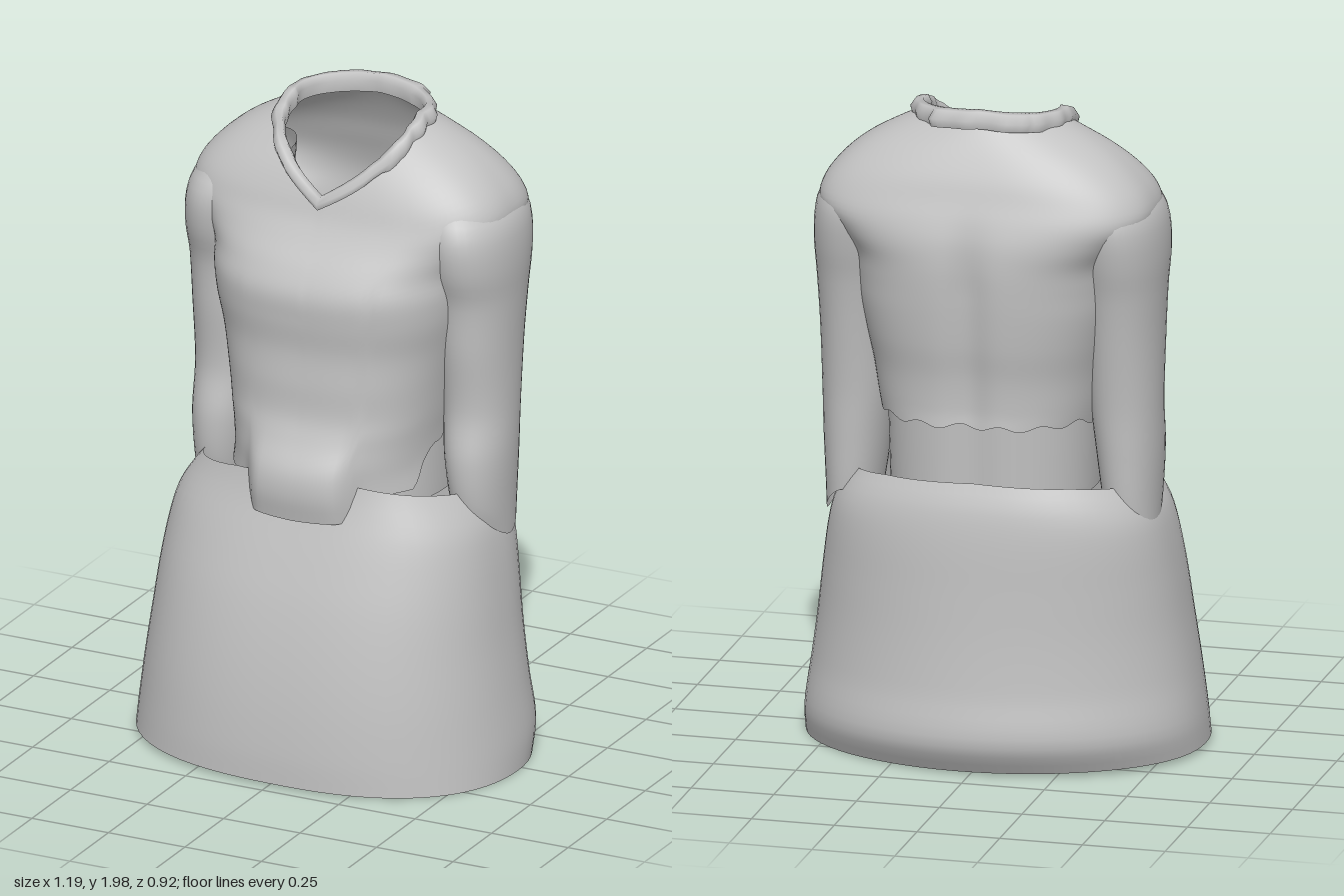
import * as THREE from 'three';

const cloth = new THREE.MeshStandardMaterial({ color: 0xc2c2c2, side: THREE.DoubleSide });
cloth.name = 'grey cloth';

// Smooth lookup in a table of rows [key, value, value, ...] sorted by key
function sample(rows, k) {
  const n = rows.length - 1;
  k = Math.min(Math.max(k, rows[0][0]), rows[n][0]);
  let i = 0;
  while (i < n - 1 && k > rows[i + 1][0]) i++;
  const a = rows[i], b = rows[i + 1], h = b[0] - a[0], u = (k - a[0]) / h;
  const p = rows[Math.max(i - 1, 0)], q = rows[Math.min(i + 2, n)];
  return a.slice(1).map((_, c) => {
    c++;
    const m0 = (b[c] - p[c]) / (b[0] - p[0]) * h, m1 = (q[c] - a[c]) / (q[0] - a[0]) * h;
    const u2 = u * u, u3 = u2 * u;
    return (2 * u3 - 3 * u2 + 1) * a[c] + (u3 - 2 * u2 + u) * m0 + (3 * u2 - 2 * u3) * b[c] + (u3 - u2) * m1;
  });
}

// Straight lookup in [key, value] pairs
function lerpTable(rows, k) {
  for (let i = 1; i < rows.length; i++) {
    const [k0, v0] = rows[i - 1], [k1, v1] = rows[i];
    if (k <= k1) return v0 + (v1 - v0) * (k - k0) / (k1 - k0);
  }
  return rows[rows.length - 1][1];
}

// Closed tube of cloth: f(angle from front, t upward) gives a point
function wrap(name, cols, rows, f) {
  const pos = [], idx = [];
  for (let j = 0; j <= rows; j++)
    for (let i = 0; i < cols; i++) pos.push(...f((i / cols) * Math.PI * 2, j / rows));
  for (let j = 0; j < rows; j++)
    for (let i = 0; i < cols; i++) {
      const a = j * cols + i, b = j * cols + (i + 1) % cols;
      idx.push(a, b, b + cols, a, b + cols, a + cols);
    }
  const g = new THREE.BufferGeometry();
  g.setAttribute('position', new THREE.Float32BufferAttribute(pos, 3));
  g.setIndex(idx);
  g.computeVertexNormals();
  const mesh = new THREE.Mesh(g, cloth);
  mesh.name = name;
  return mesh;
}

// Superellipse point: half width, front z, back z, squareness n
function oval(a, hw, zf, zb, n) {
  const s = Math.sin(a), c = Math.cos(a);
  const r = Math.pow(Math.pow(Math.abs(s), n) + Math.pow(Math.abs(c), n), -1 / n);
  return [s * r * hw, (zf + zb) / 2 + c * r * (zf - zb) / 2];
}

const degrees = a => { const d = THREE.MathUtils.radToDeg(a); return d > 180 ? 360 - d : d; };
const CX = 0.012;

// [height, half width, front z, back z]
const SKIRT = [
  [0.01, 0.597, 0.462, -0.41], [0.1, 0.593, 0.46, -0.457], [0.25, 0.572, 0.445, -0.437],
  [0.4, 0.55, 0.42, -0.422], [0.55, 0.53, 0.385, -0.412], [0.68, 0.508, 0.345, -0.405],
  [0.76, 0.485, 0.318, -0.397], [0.82, 0.448, 0.298, -0.385], [0.88, 0.398, 0.283, -0.362], [0.93, 0.365, 0.275, -0.345],
];
// [height, half width, front z, back z, squareness]
const TORSO = [
  [0.8, 0.34, 0.33, -0.36, 2.3], [0.88, 0.33, 0.343, -0.36, 2.3], [0.95, 0.32, 0.335, -0.37, 2.3],
  [1.03, 0.325, 0.295, -0.39, 2.4], [1.1, 0.335, 0.27, -0.385, 2.5], [1.2, 0.35, 0.265, -0.39, 2.5],
  [1.3, 0.37, 0.26, -0.405, 2.5], [1.4, 0.392, 0.27, -0.415, 2.5], [1.48, 0.402, 0.27, -0.42, 2.5],
  [1.55, 0.41, 0.238, -0.42, 2.6], [1.62, 0.455, 0.19, -0.412, 2.8], [1.68, 0.5, 0.155, -0.395, 2.9],
  [1.74, 0.488, 0.132, -0.372, 2.9], [1.8, 0.442, 0.105, -0.35, 2.7], [1.86, 0.37, 0.07, -0.32, 2.4],
  [1.91, 0.285, 0.04, -0.29, 2.1], [1.95, 0.205, 0.02, -0.262, 2], [1.98, 0.175, 0.01, -0.245, 2],
];
// [height, inner x, outer x, front z, back z]
const SLEEVE = [
  [0.7, 0.35, 0.497, 0.0, -0.2], [0.8, 0.335, 0.502, 0.045, -0.215], [0.95, 0.315, 0.509, 0.06, -0.225],
  [1.1, 0.3, 0.51, 0.04, -0.235], [1.3, 0.29, 0.515, 0.06, -0.26], [1.45, 0.28, 0.522, 0.075, -0.285],
  [1.55, 0.27, 0.528, 0.105, -0.31], [1.64, 0.26, 0.523, 0.115, -0.325], [1.7, 0.25, 0.505, 0.1, -0.32],
  [1.76, 0.24, 0.455, 0.055, -0.285],
];
// Edge heights by angle from the front
const NECK = [[0, 1.735], [10, 1.79], [20, 1.845], [33, 1.89], [50, 1.925], [75, 1.95], [130, 1.958], [180, 1.97]];
const HEM = [[0, 0.8], [27, 0.805], [30, 0.88], [60, 0.88], [75, 1.0], [90, 1.02], [120, 1.06], [180, 1.06]];
const WAIST = [[0, 0.925], [30, 0.91], [55, 0.88], [80, 0.85], [110, 0.85], [140, 0.875], [180, 0.885]];

function torsoPoint(a, y) {
  const [hw, zf, zb, n] = sample(TORSO, y);
  let [x, z] = oval(a, hw, zf, zb, n);
  const low = THREE.MathUtils.smoothstep(1.08 - y, 0, 0.2);
  if (z > 0) z -= 0.05 * low * THREE.MathUtils.smoothstep(Math.abs(x), 0.12, 0.2); // front tab stands proud
  else z += 0.025 * Math.exp(-((x / 0.06) ** 2)) * THREE.MathUtils.smoothstep(1.75 - y, 0, 0.3); // spine hollow
  return [x + CX, y, z];
}

export function createModel() {
  const group = new THREE.Group();
  group.name = 'dress';

  // Flared skirt with open waist and slightly uneven hem
  group.add(wrap('skirt', 72, 30, (a, t) => {
    const y = 0.012 + (lerpTable(WAIST, degrees(a)) - 0.012) * t;
    const [hw, zf, zb] = sample(SKIRT, y);
    const [x, z] = oval(a, hw, zf, zb, 2.2 + 0.2 * Math.cos(a) + 0.5 * t * t);
    return [x, y + (1 - t) * 0.008 * (1 - x / 0.6), z];
  }));

  // Bodice with neckline, front tab, shoulders and short back
  group.add(wrap('bodice', 128, 56, (a, t) => {
    const d = degrees(a);
    const y0 = lerpTable(HEM, d) + (d > 65 ? 0.008 * Math.sin(a * 17) : 0);
    return torsoPoint(a, y0 + (lerpTable(NECK, d) - y0) * t);
  }));

  // Inner layer showing below the short back
  group.add(wrap('underlayer', 64, 10, (a, t) => {
    const [x, z] = oval(a, 0.305 + 0.01 * t, 0.21, -0.345 - 0.015 * t, 2.3);
    return [x + CX, 0.82 + 0.4 * t, z + (z < 0 ? 0.02 * Math.exp(-((x / 0.06) ** 2)) : 0)];
  }));

  // Rolled collar following the neckline
  const ROLL = [[0.03, -0.026], [0.036, 0.0], [0.022, 0.024], [0.002, 0.026], [-0.008, 0.005], [-0.004, -0.03]];
  group.add(wrap('collar', 96, ROLL.length - 1, (a, t) => {
    const d = degrees(a), p = torsoPoint(a, lerpTable(NECK, d));
    const [out, up] = ROLL[Math.round(t * (ROLL.length - 1))];
    const crumple = 1 + 0.12 * Math.sin(a * 5 + 1) + 0.1 * Math.sin(a * 13);
    const dir = new THREE.Vector2(p[0] - CX, p[2] + 0.08).normalize();
    const k = out * crumple * (d > 140 ? 1.3 : 1);
    return [p[0] + dir.x * k, p[1] + up * (d < 25 ? 0.7 : 1), p[2] + dir.y * k];
  }));

  // Sleeves with rounded, open cuffs; their tops tuck under the shoulders
  for (const side of [1, -1]) {
    group.add(wrap(side > 0 ? 'leftSleeve' : 'rightSleeve', 40, 36, (a, t) => {
      const y0 = 0.7 + 0.09 * Math.cos(a) ** 2;
      const y = y0 + (1.76 - y0) * t;
      const [xi, xo, zf, zb] = sample(SLEEVE, y);
      const [x, z] = oval(a, (xo - xi) / 2, zf, zb, 2.1);
      return [CX + side * (xi + xo) / 2 + x, y, z];
    }));
  }
  return group;
}
